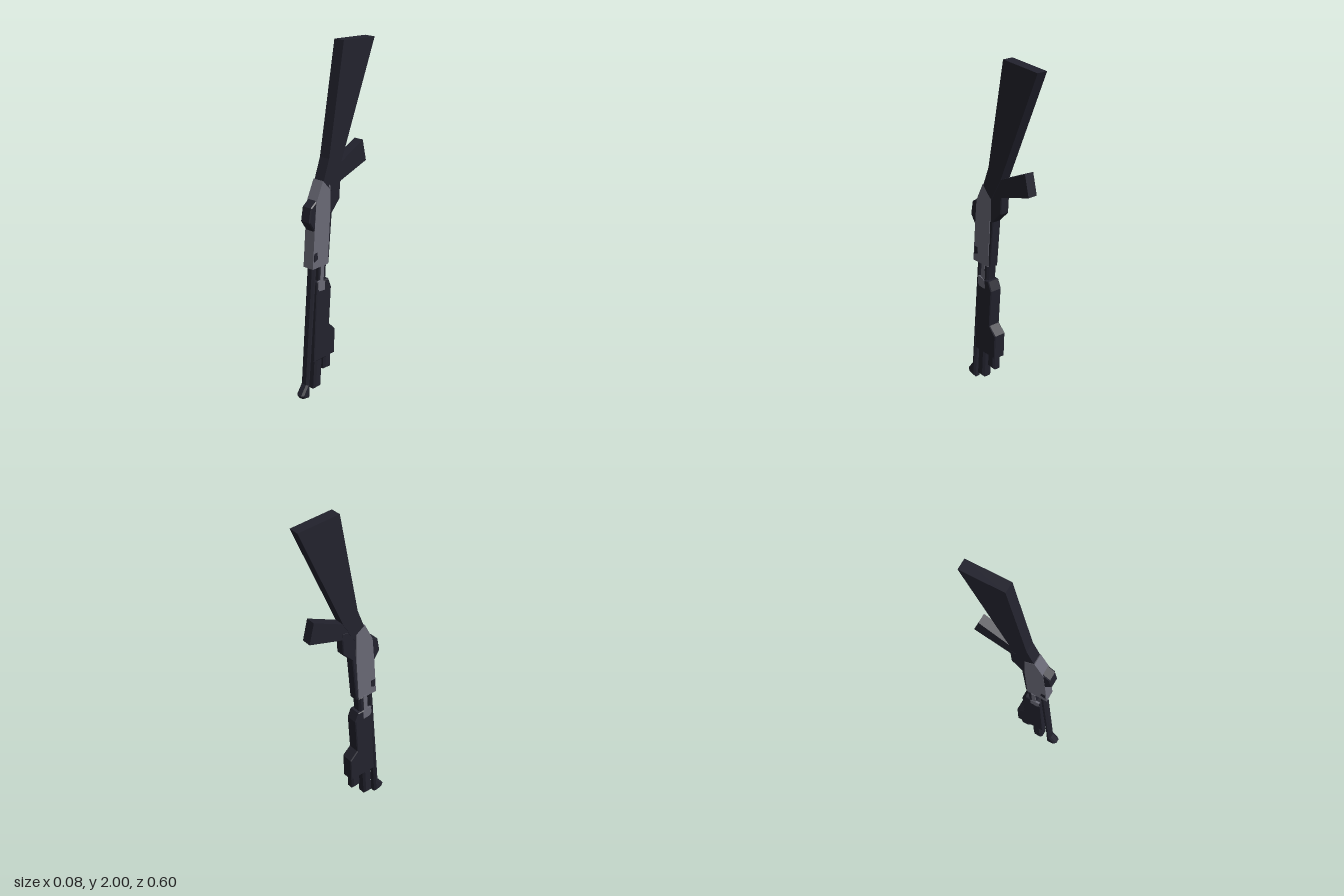
import * as THREE from 'three';

export function createModel() {
  const group = new THREE.Group();
  const mat = (name, color) => Object.assign(new THREE.MeshStandardMaterial({ color }), { name, flatShading: true });
  const dark = mat('darkGunmetal', 0x22222d);
  const light = mat('lightSteel', 0x696975);

  // Side profile given as [z, y] points, extruded between x0 and x1 with chamfered side edges.
  function part(name, material, points, x0, x1, chamfer = 0) {
    const shape = new THREE.Shape(points.map(([z, y]) => new THREE.Vector2(z, y)));
    const geo = new THREE.ExtrudeGeometry(shape, {
      depth: x1 - x0 - 2 * chamfer, bevelEnabled: chamfer > 0, bevelSegments: 1,
      bevelThickness: chamfer, bevelSize: chamfer, bevelOffset: -chamfer,
    });
    geo.translate(0, 0, -x1 + chamfer);
    geo.rotateY(-Math.PI / 2);
    const mesh = new THREE.Mesh(geo, material);
    mesh.name = name;
    group.add(mesh);
  }

  // Shoulder stock, flaring to the butt
  part('stock', dark, [[-0.04, 2], [-0.30, 1.98], [-0.02, 1.34], [0.06, 1.2], [0.125, 1.27], [0.08, 1.385]], -0.028, 0.036);
  // Angled hand grip
  part('grip', dark, [[-0.02, 1.34], [-0.21, 1.425], [-0.24, 1.3], [-0.03, 1.24], [0.06, 1.2], [0.05, 1.36]], -0.025, 0.033);
  // Lower housing beneath the receiver
  part('lowerHousing', dark, [[0.1, 1.26], [-0.025, 1.28], [-0.015, 1.135], [0.05, 1.07], [0.078, 0.785], [0.15, 0.785]],
    -0.026, 0.032, 0.005);
  // Steel receiver
  part('receiver', light, [[0.13, 1.275], [0.07, 1.235], [0.07, 1.1], [0.092, 0.785], [0.218, 0.79], [0.2, 1.01], [0.185, 1.165]],
    -0.031, 0.036);
  // Raised rear sight block
  part('sightBlock', dark, [[0.18, 1.175], [0.225, 1.145], [0.24, 1.065], [0.2, 1.005], [0.17, 1.01], [0.16, 1.16]], -0.03, 0.035, 0.006);
  // Small dark recesses on the receiver sides
  for (const [x0, x1] of [[-0.033, -0.03], [0.035, 0.038]]) {
    part('receiverRecess', dark, [[0.205, 0.88], [0.18, 0.88], [0.178, 0.84], [0.208, 0.83]], x0, x1);
  }

  // Barrel with flared muzzle
  part('barrel', dark, [[0.2, 0.8], [0.26, 0.09], [0.302, 0.035], [0.285, 0.01], [0.235, 0], [0.228, 0.12], [0.165, 0.8]],
    -0.025, 0.025, 0.011);
  // Magazine tube running under the barrel
  part('magazineTube', dark, [[0.148, 0.8], [0.205, 0.045], [0.145, 0.042], [0.092, 0.8]], -0.034, 0.032, 0.012);
  // Lower rod poking out of the fore-end
  part('lowerRod', dark, [[0.105, 0.35], [0.115, 0.135], [0.055, 0.13], [0.05, 0.35]], -0.027, 0.027, 0.01);
  // Pump fore-end
  part('foreEnd', dark, [[0.182, 0.7], [0.212, 0.222], [0.037, 0.215], [0.03, 0.365], [0.08, 0.415], [0.063, 0.64], [0.085, 0.695]],
    -0.039, 0.037, 0.005);
  // Steel action bars and their collars
  for (const [x0, x1] of [[-0.041, -0.03], [0.028, 0.039]]) {
    part('actionBar', light, [[0.147, 0.8], [0.155, 0.69], [0.128, 0.69], [0.12, 0.8]], x0 + 0.004, x1 - 0.004);
    part('actionCollar', light, [[0.175, 0.705], [0.178, 0.66], [0.165, 0.645], [0.122, 0.64], [0.118, 0.69], [0.15, 0.705]], x0, x1);
  }
  return group;
}
